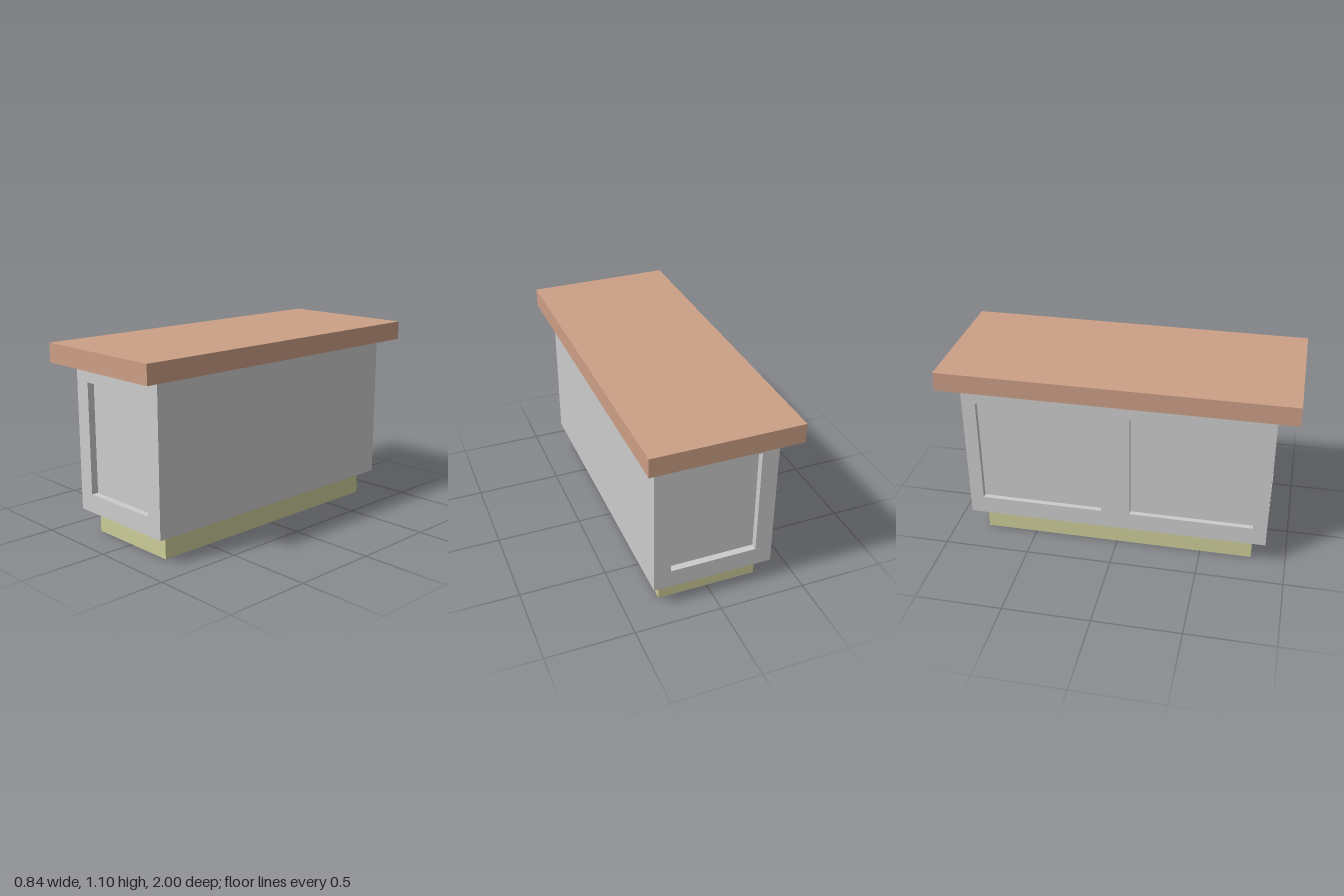
import * as THREE from 'three';

const flat = (name, color) => {
  const m = new THREE.MeshStandardMaterial({ color });
  m.name = name;
  return m;
};

export function createModel() {
  const group = new THREE.Group();
  const wood = flat('warm wood', 0xcc9f86);
  const paint = flat('pale grey paint', 0xcccccc);
  const cream = flat('olive cream', 0xcccc99);

  // Cabinet half sizes, height range, recess depths and panel heights
  const hx = 0.347, hz = 0.88, y0 = 0.142, y1 = 0.993;
  const endDepth = 0.04, sideDepth = 0.03;
  const p0 = 0.25, p1 = 0.89;

  const add = (name, geometry, material, x = 0, y = 0, z = 0, turn = 0) => {
    const mesh = new THREE.Mesh(geometry, material);
    mesh.name = name;
    mesh.position.set(x, y, z);
    mesh.rotation.y = turn;
    group.add(mesh);
  };
  const box = (name, material, xa, xb, ya, yb, za, zb) =>
    add(name, new THREE.BoxGeometry(xb - xa, yb - ya, zb - za), material,
      (xa + xb) / 2, (ya + yb) / 2, (za + zb) / 2);

  // Flat frame with rectangular panel openings, each given as [left, right]
  const frame = (half, openings, depth) => {
    const rect = (path, a, b, c, d) =>
      path.moveTo(a, c).lineTo(b, c).lineTo(b, d).lineTo(a, d).closePath();
    const shape = rect(new THREE.Shape(), -half, half, y0, y1);
    for (const [a, b] of openings) shape.holes.push(rect(new THREE.Path(), a, b, p0, p1));
    return new THREE.ExtrudeGeometry(shape, { depth, bevelEnabled: false });
  };

  // Plinth, cabinet core and overhanging top
  box('plinth', cream, -0.29, 0.29, 0, y0, -0.8, 0.8);
  box('cabinetCore', paint, -hx + sideDepth, hx, y0, y1, -hz + endDepth, hz - endDepth);
  box('worktop', wood, -0.42, 0.42, y1, 1.102, -1, 1);

  // Frames around the recessed panels: one at each end, two on the -x side
  const endFrame = frame(hx, [[-0.25, 0.25]], endDepth);
  add('frontFrame', endFrame, paint, 0, 0, hz - endDepth);
  add('backFrame', endFrame, paint, 0, 0, -hz + endDepth, Math.PI);
  add('rightFrame', frame(hz - endDepth, [[-0.8, -0.085], [0.085, 0.8]], sideDepth), paint,
    -hx + sideDepth, 0, 0, -Math.PI / 2);

  return group;
}
